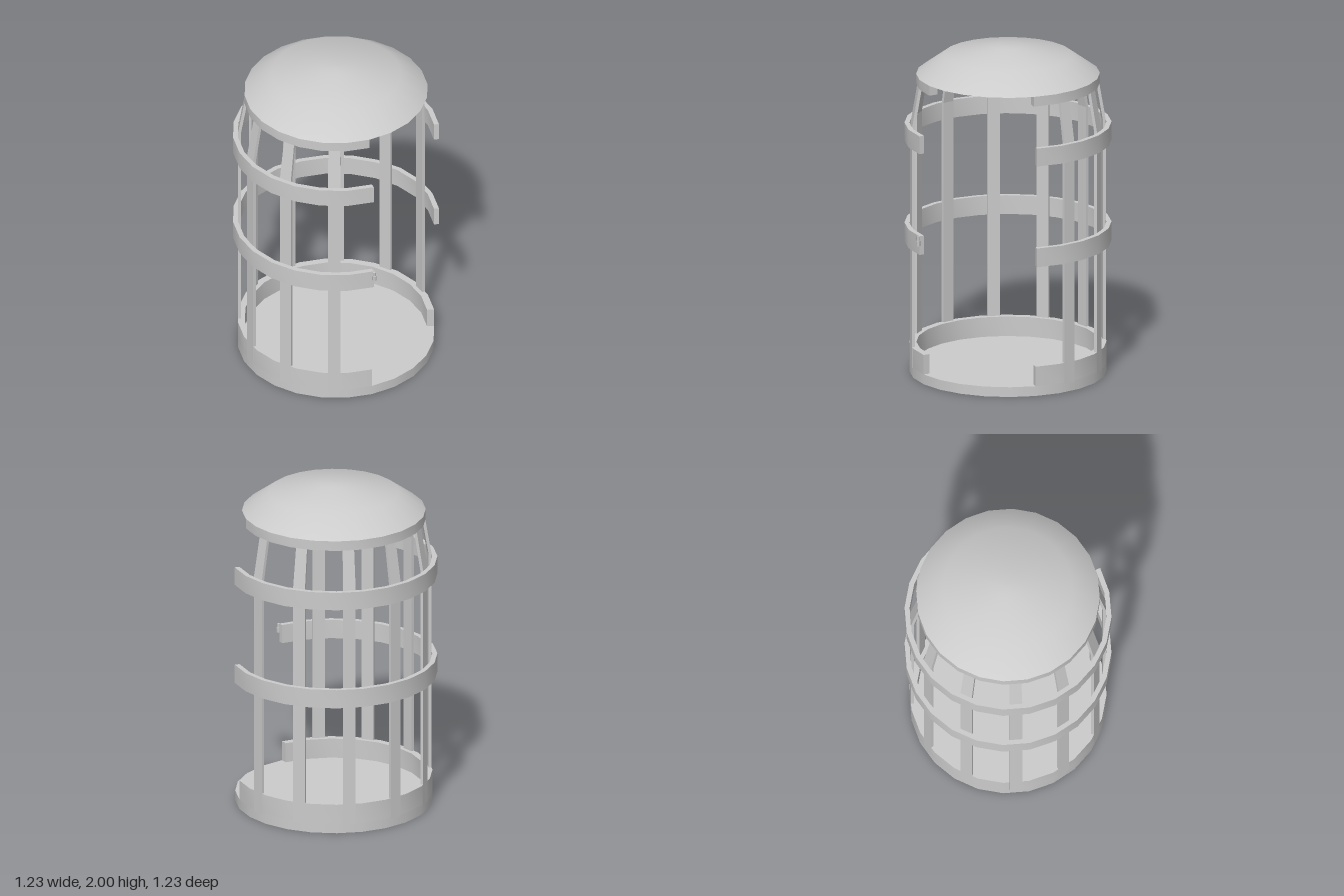
import * as THREE from 'three';
import { toCreasedNormals } from 'three/addons/utils/BufferGeometryUtils.js';

const DEG = Math.PI / 180;
const SIDES = 24;

export function createModel() {
  const model = new THREE.Group();
  const grey = new THREE.MeshStandardMaterial({ color: 0xcccccc });
  const greyThin = new THREE.MeshStandardMaterial({ color: 0xcccccc, side: THREE.DoubleSide });

  function add(name, geometry, material = grey) {
    const mesh = new THREE.Mesh(geometry, material);
    mesh.name = name;
    model.add(mesh);
    return mesh;
  }

  // Band that runs round the cage and leaves the doorway open (30 to 105 degrees, from +x towards +z)
  function openBand(name, inner, outer, bottom, top) {
    const outside = [], inside = [];
    for (let a = 105; a <= 390; a += 360 / SIDES) {
      const c = Math.cos(a * DEG), s = -Math.sin(a * DEG);
      outside.push(new THREE.Vector2(outer * c, outer * s));
      inside.unshift(new THREE.Vector2(inner * c, inner * s));
    }
    const shape = new THREE.Shape([...outside, ...inside]);
    const band = new THREE.ExtrudeGeometry(shape, { depth: top - bottom, bevelEnabled: false });
    band.rotateX(-Math.PI / 2).translate(0, bottom, 0);
    add(name, toCreasedNormals(band, 0.5));
  }

  // Upright bar: straight to the upper hoop, then leaning in to the roof
  function barGeometry() {
    const heights = [0.05, 1.53, 1.82];
    const radii = [0.572, 0.572, 0.522];
    const bar = new THREE.BoxGeometry(0.075, 2, 0.018, 1, 2, 1);
    const p = bar.attributes.position;
    for (let i = 0; i < p.count; i++) {
      const level = Math.round(p.getY(i)) + 1;
      const r = radii[level];
      p.setXYZ(i, p.getX(i) * r / radii[0], heights[level], p.getZ(i) + r);
    }
    return toCreasedNormals(bar, 0.1);
  }

  // Floor and low wall
  add('floor', new THREE.CylinderGeometry(0.585, 0.585, 0.06, SIDES).translate(0, 0.03, 0));
  openBand('baseWall', 0.543, 0.585, 0.06, 0.18);

  // Hoops and the ring under the roof
  openBand('middleHoop', 0.584, 0.614, 0.8, 0.915);
  openBand('upperHoop', 0.584, 0.614, 1.42, 1.53);
  openBand('roofRing', 0.49, 0.545, 1.77, 1.83);

  // Nine bars, none in the doorway
  const bar = barGeometry();
  for (let i = 0; i < 9; i++) {
    add('bar', bar).rotation.y = (82.5 + 30 * i) * DEG;
  }

  // Hollow domed roof
  const profile = [[0.545, 1.83], [0.385, 1.945], [0.09, 1.998], [0, 2]];
  add('roof', new THREE.LatheGeometry(profile.map(([r, y]) => new THREE.Vector2(r, y)), SIDES), greyThin);

  // Small latch pin beside the doorway
  add('latchPin', new THREE.CylinderGeometry(0.013, 0.013, 0.03, 6).translate(-0.161, 0.873, 0.602));
  add('latchPinTop', new THREE.CylinderGeometry(0.009, 0.009, 0.027, 6).translate(-0.161, 0.9, 0.602));

  return model;
}
